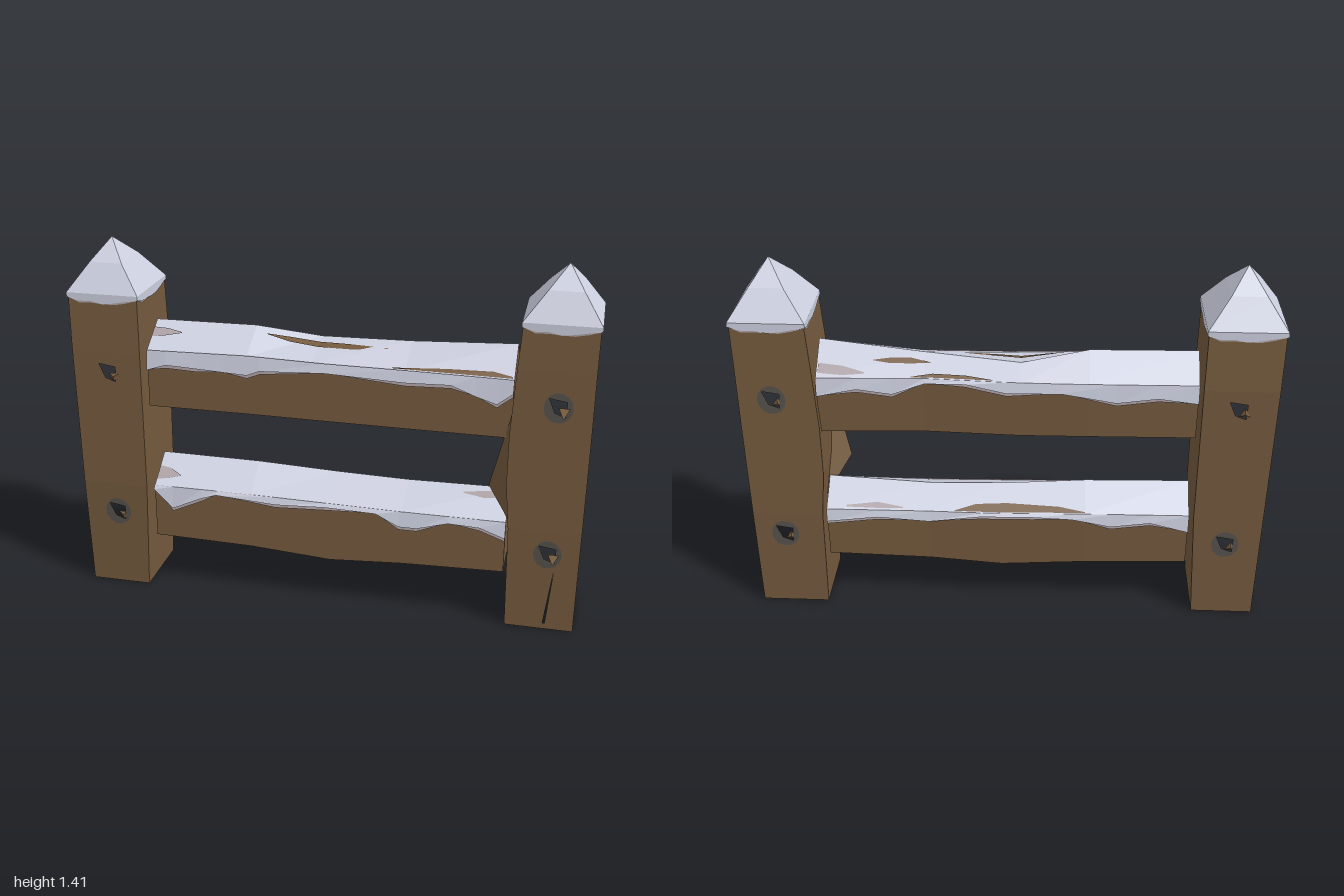
import * as THREE from 'three';
import { ConvexGeometry } from 'three/addons/geometries/ConvexGeometry.js';

const mat = (name, color, side = THREE.FrontSide) => {
  const m = new THREE.MeshStandardMaterial({ color, side, flatShading: true });
  m.name = name;
  return m;
};

// Ribbon of quads between two polylines; a is above b when running rightwards seen from outside
function strip(a, b) {
  const pos = [];
  for (let i = 0; i < a.length - 1; i++) {
    pos.push(...a[i], ...b[i], ...a[i + 1], ...a[i + 1], ...b[i], ...b[i + 1]);
  }
  const g = new THREE.BufferGeometry();
  g.setAttribute('position', new THREE.Float32BufferAttribute(pos, 3));
  g.computeVertexNormals();
  return g;
}

function add(group, name, geometry, material) {
  const mesh = new THREE.Mesh(geometry, material);
  mesh.name = name;
  group.add(mesh);
  return mesh;
}

// Linear interpolation of rows by the value in their first column
function sample(rows, v) {
  let i = 0;
  while (i < rows.length - 2 && v > rows[i + 1][0]) i++;
  const a = rows[i], b = rows[i + 1], t = (v - a[0]) / (b[0] - a[0]);
  return a.map((n, k) => n + (b[k] - n) * t);
}

// Sheet with holes, facing front or back; zAt gives its depth at each height
function sheet(outline, holes, zAt, back) {
  const toVec = ([x, y]) => new THREE.Vector2(x, y);
  const shape = new THREE.Shape(outline.map(toVec));
  holes.forEach(h => shape.holes.push(new THREE.Path(h.map(toVec))));
  const g = new THREE.ShapeGeometry(shape), p = g.attributes.position, ix = g.index.array;
  for (let i = 0; i < p.count; i++) p.setZ(i, zAt(p.getY(i)));
  if (back) for (let i = 0; i < ix.length; i += 3) [ix[i], ix[i + 1]] = [ix[i + 1], ix[i]];
  g.computeVertexNormals();
  return g;
}

// levels: [y, left x, right x, front z, back z]; knots: [x, y, splinter length, stained]
function makePost(name, levels, tipX, knots, cracks, m) {
  const post = new THREE.Group();
  post.name = name;
  const knotHole = ([x, y], k) => [[-0.035, 0.035], [0.03, 0.025], [0.028, -0.035], [-0.012, -0.02]]
    .map(([dx, dy]) => [x + dx * k, y + dy]);

  for (const back of [false, true]) {
    const dir = back ? -1 : 1, zAt = y => sample(levels, y)[back ? 4 : 3];
    const knotHoles = knots.map(k => knotHole(k, dir));
    const holes = back ? knotHoles : [...knotHoles, ...cracks];
    for (let i = 0; i < levels.length - 1; i++) {
      const [ya, a0, a1] = levels[i], [yb, b0, b1] = levels[i + 1];
      const inside = holes.filter(h => h[0][1] > ya && h[0][1] < yb);
      add(post, back ? 'backFace' : 'frontFace',
        sheet([[a0, ya], [a1, ya], [b1, yb], [b0, yb]], inside, zAt, back), m.wood);
    }
    knots.forEach(([x, y, length, stained], i) => {
      if (stained) {
        const ring = Array.from({ length: 14 }, (_, j) => {
          const t = j / 14 * Math.PI * 2;
          return [x + 0.053 * Math.cos(t), y + 0.058 * Math.sin(t)];
        });
        add(post, 'knotStain', sheet(ring, [knotHoles[i]], h => zAt(h) + dir * 0.003, back), m.stain);
      }
      const len = back ? 0.006 : length;
      const splinter = add(post, 'splinter', new THREE.ConeGeometry(0.024, len, 3), m.wood);
      splinter.rotation.x = dir * Math.PI / 2;
      splinter.position.set(x + 0.022 * dir, y - 0.012, zAt(y) + dir * len / 2);
    });
  }

  // Side boards and foot
  const edge = (kx, kz) => levels.map(l => [l[kx], l[0], l[kz]]);
  add(post, 'rightSide', strip(edge(2, 3), edge(2, 4)), m.wood);
  add(post, 'leftSide', strip(edge(1, 4), edge(1, 3)), m.wood);
  const [y0, xa, xb, za, zb] = levels[0];
  add(post, 'foot', strip([[xa, y0, zb], [xa, y0, za]], [[xb, y0, zb], [xb, y0, za]]), m.wood);

  // Pointed snow cap, slightly swollen front to back
  const [, x0, x1, zf, zk] = levels[levels.length - 1];
  const ring = (out, y) => [[x0 - out, y, zf + out], [x1 + out, y, zf + out],
    [x1 + out, y, zk - out], [x0 - out, y, zk - out], [x0 - out, y, zf + out]];
  const base = ring(0.005, 1.228);
  const tip = [tipX, 1.415, -0.02];
  const mid = base.map(([x, , z]) => [tipX + (x - tipX) * 0.45, 1.333, -0.02 + (z + 0.02) * 0.57]);
  add(post, 'snowCapLower', strip(mid, base), m.snow);
  add(post, 'snowCapTip', strip(mid.map(() => tip), mid), m.snow);

  // Ragged snow hanging over the post top, thinner along its hem
  const drops = [1.212, 1.198, 1.2, 1.19, 1.196, 1.205];
  const fringe = (label, out, extra, material) => {
    const corners = ring(out, 1.228).map(c => new THREE.Vector3(...c)), top = [], hem = [];
    for (let i = 0; i <= 24; i++) {
      const s = Math.min(3, Math.floor(i / 6));
      const [x, y, z] = corners[s].clone().lerp(corners[s + 1], i / 6 - s).toArray();
      top.push([x, y, z]);
      hem.push([x, drops[i % 6] - (i % 3 ? extra : 0), z]);
    }
    add(post, label, strip(top, hem), material);
  };
  fringe('snowFringe', 0.005, 0, m.snow);
  fringe('thinSnow', 0.003, 0.007, m.thin);
  return post;
}

// stations: [x, bottom y, front top y, ridge y, ridge z, back top y, back z]
// patches: [material, on back, ...[x, low t, high t]] with t from eave to ridge
function makeRail(name, stations, frontFringe, backFringe, patches, m) {
  const rail = new THREE.Group();
  rail.name = name;
  const line = {
    fb: s => [s[0], s[1], 0.086], ft: s => [s[0], s[2], 0.082], ridge: s => [s[0], s[3], s[4]],
    bt: s => [s[0], s[5], s[6]], bb: s => [s[0], s[1], s[6] + 0.008],
  };
  const run = (k, rev) => { const p = stations.map(line[k]); return rev ? p.reverse() : p; };
  add(rail, 'frontBoard', strip(run('ft'), run('fb')), m.wood);
  add(rail, 'backBoard', strip(run('bt', true), run('bb', true)), m.wood);
  add(rail, 'underside', strip(run('fb'), run('bb')), m.wood);
  add(rail, 'frontSnowSlope', strip(run('ridge'), run('ft')), m.snow);
  add(rail, 'backSnowSlope', strip(run('ridge', true), run('bt', true)), m.snow);

  // Ends
  [stations[0], stations[stations.length - 1]].forEach((s, i) => {
    const b = ['bb', 'bt', 'ridge'].map(k => line[k](s)), f = ['fb', 'ft', 'ridge'].map(k => line[k](s));
    add(rail, 'railEnd', i ? strip(f, b) : strip(b, f), m.wood);
  });

  // Snow hanging down each face and flaring outwards, with a thinner layer showing below it
  const fringe = (pts, back) => {
    const layer = (top, flare, extra) => {
      const upper = [], lower = [], dir = back ? -1 : 1;
      pts.forEach(([x, y], i) => {
        const s = sample(stations, x), t = line[back ? 'bt' : 'ft'](s), b = line[back ? 'bb' : 'fb'](s);
        const hem = y - (i % 3 ? extra : 0), k = (t[1] - hem) / (t[1] - b[1]);
        upper.push([x, t[1] + 0.002, t[2] + dir * top]);
        lower.push([x, hem, t[2] + (b[2] - t[2]) * k + dir * flare]);
      });
      return back ? strip(upper.reverse(), lower.reverse()) : strip(upper, lower);
    };
    add(rail, 'snowFringe', layer(0.004, 0.013, 0), m.snow);
    add(rail, 'thinSnow', layer(0.002, 0.007, 0.014), m.thin);
  };
  fringe(frontFringe, false);
  fringe(backFringe, true);

  // Bare wood and thin snow showing on the slopes
  for (const [material, back, ...pts] of patches) {
    const on = (x, t) => {
      const s = sample(stations, x), e = line[back ? 'bt' : 'ft'](s), r = line.ridge(s);
      return [x, e[1] + (r[1] - e[1]) * t + 0.006, e[2] + (r[2] - e[2]) * t];
    };
    const hi = pts.map(([x, , t]) => on(x, t)), lo = pts.map(([x, t]) => on(x, t));
    if (back) { hi.reverse(); lo.reverse(); }
    add(rail, 'slopePatch', strip(hi, lo), material);
  }
  return rail;
}

export function createModel() {
  const m = {
    wood: mat('brown wood', 0x755a3e),
    snow: mat('snow', 0xcdd0e0, THREE.DoubleSide),
    thin: mat('thin snow', 0xaea2a6, THREE.DoubleSide),
    stain: mat('knot stain', 0x56524d),
  };
  const fence = new THREE.Group();
  fence.name = 'snowyFence';

  fence.add(makePost('leftmostPost',
    [[0.005, -0.97, -0.733, 0.117, -0.177], [0.45, -0.975, -0.712, 0.13, -0.182],
      [1.0, -0.98, -0.708, 0.131, -0.193], [1.23, -0.983, -0.71, 0.121, -0.18]],
    -0.85, [[-0.84, 0.92, 0.008, false], [-0.84, 0.33, 0.008, true]], [], m));
  const rightmost = makePost('rightmostPost',
    [[0.005, 0.715, 0.975, 0.11, -0.178], [0.42, 0.708, 0.98, 0.118, -0.183], [0.6, 0.692, 0.982, 0.118, -0.183],
      [0.8, 0.692, 0.984, 0.118, -0.183], [1.05, 0.706, 0.985, 0.118, -0.184], [1.23, 0.718, 0.987, 0.113, -0.184]],
    0.86, [[0.86, 0.92, 0.082, true], [0.86, 0.33, 0.062, true]], [[[0.86, 0.03], [0.868, 0.03], [0.888, 0.26]]], m);
  fence.add(rightmost);

  // Split sliver peeling off the inner side of the post
  add(rightmost, 'peelingSliver', new ConvexGeometry([[0.622, 0.56, 0.045], [0.71, 0.43, 0.08],
    [0.697, 0.88, 0.1], [0.705, 0.45, -0.08]].map(p => new THREE.Vector3(...p))), m.wood);

  fence.add(makeRail('upperRail', [
    [-0.697, 0.78, 1.005, 1.09, -0.05, 1.0, -0.157], [-0.3, 0.78, 1.012, 1.09, -0.06, 1.0, -0.165],
    [-0.05, 0.778, 1.005, 1.052, -0.1, 1.0, -0.165], [0.3, 0.776, 1.003, 1.07, -0.065, 1.0, -0.145],
    [0.697, 0.775, 0.998, 1.1, -0.03, 1.0, -0.16]],
  [[-0.697, 0.93], [-0.62, 0.955], [-0.5, 0.95], [-0.4, 0.945], [-0.3, 0.94], [-0.25, 0.96], [0, 0.972],
    [0.3, 0.96], [0.47, 0.965], [0.56, 0.93], [0.64, 0.905], [0.697, 0.95]],
  [[-0.697, 0.93], [-0.55, 0.95], [-0.4, 0.93], [-0.2, 0.965], [0, 0.96], [0.15, 0.99], [0.3, 0.985],
    [0.42, 0.94], [0.55, 0.96], [0.697, 0.93]],
  [[m.wood, false, [-0.25, 0.72, 0.74], [-0.16, 0.58, 0.74], [-0.05, 0.53, 0.72], [0.08, 0.52, 0.7], [0.22, 0.62, 0.64]],
    [m.wood, false, [0.25, 0, 0.02], [0.45, 0, 0.12], [0.62, 0, 0.15], [0.69, 0, 0.05]],
    [m.wood, true, [0.28, 0.55, 0.57], [0.35, 0.48, 0.68], [0.43, 0.45, 0.62], [0.49, 0.5, 0.52]],
    [m.wood, true, [0.05, 0, 0.02], [0.15, 0, 0.15], [0.27, 0, 0.15], [0.35, 0, 0.02]],
    [m.thin, false, [-0.695, 0.4, 0.7], [-0.64, 0.45, 0.68], [-0.58, 0.55, 0.58]],
    [m.thin, true, [0.52, 0.1, 0.14], [0.6, 0.05, 0.3], [0.69, 0.1, 0.35]]], m));

  fence.add(makeRail('lowerRail', [
    [-0.697, 0.22, 0.437, 0.53, -0.045, 0.44, -0.157], [-0.3, 0.212, 0.437, 0.525, -0.05, 0.44, -0.163],
    [0.02, 0.19, 0.432, 0.508, -0.06, 0.43, -0.16], [0.3, 0.208, 0.428, 0.502, -0.06, 0.43, -0.155],
    [0.697, 0.22, 0.428, 0.515, -0.045, 0.43, -0.158]],
  [[-0.697, 0.425], [-0.62, 0.35], [-0.5, 0.405], [-0.44, 0.425], [-0.2, 0.41], [0, 0.42], [0.2, 0.415],
    [0.29, 0.37], [0.36, 0.37], [0.48, 0.405], [0.6, 0.4], [0.697, 0.365]],
  [[-0.697, 0.37], [-0.55, 0.41], [-0.4, 0.39], [-0.25, 0.42], [-0.1, 0.425], [0.1, 0.42], [0.3, 0.39],
    [0.5, 0.405], [0.697, 0.38]],
  [[m.wood, true, [-0.3, 0, 0.02], [-0.2, 0, 0.18], [0, 0, 0.3], [0.12, 0, 0.25], [0.2, 0, 0.02]],
    [m.thin, false, [-0.695, 0.15, 0.55], [-0.65, 0.2, 0.5], [-0.6, 0.3, 0.32]],
    [m.thin, false, [0.52, 0.7, 0.72], [0.6, 0.6, 0.8], [0.69, 0.65, 0.85]],
    [m.thin, true, [0.4, 0.05, 0.08], [0.5, 0.03, 0.22], [0.62, 0.05, 0.1]]], m));

  return fence;
}
